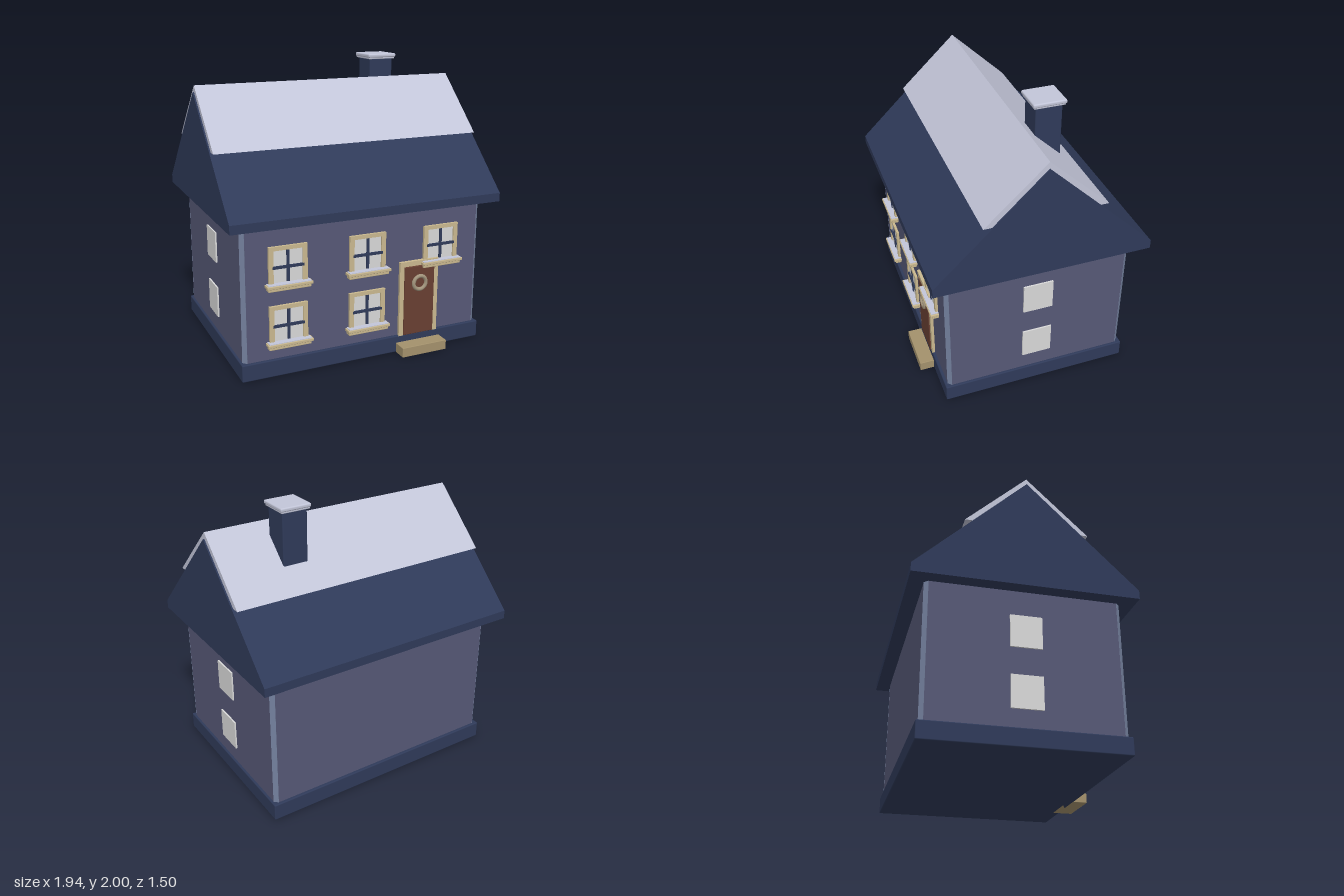
import * as THREE from 'three';
import { RoundedBoxGeometry } from 'three/addons/geometries/RoundedBoxGeometry.js';

const mat = (name, color) => {
  const m = new THREE.MeshStandardMaterial({ color });
  m.name = name;
  return m;
};

export function createModel() {
  const house = new THREE.Group();
  house.name = 'house';
  const wall = mat('wall plum', 0x565876);
  const navy = mat('navy', 0x2f3a59);
  const corner = mat('corner slate blue', 0x75829f);
  const pale = mat('pale lavender', 0xc2c5d8);
  const glass = mat('window white', 0xd8d8d8);
  const trim = mat('sandstone trim', 0xc9b88f);
  const stepMat = mat('step stone', 0xa3916c);
  const doorMat = mat('door brown', 0x683f32);
  const wreathMat = mat('wreath taupe', 0xa3957d);

  const add = (parent, name, geo, material) => {
    const m = new THREE.Mesh(geo, material);
    m.name = name;
    parent.add(m);
    return m;
  };
  // Box from its bounds; a radius gives softened edges
  const box = (parent, name, material, [x0, x1], [y0, y1], [z0, z1], r = 0) => {
    const s = [x1 - x0, y1 - y0, z1 - z0];
    const geo = r ? new RoundedBoxGeometry(...s, 2, r) : new THREE.BoxGeometry(...s);
    const m = add(parent, name, geo, material);
    m.position.set((x0 + x1) / 2, (y0 + y1) / 2, (z0 + z1) / 2);
    return m;
  };
  // Prism along x from a profile of [z, y] points
  const prism = (name, material, points, halfLength) => {
    const shape = new THREE.Shape(points.map(([z, y]) => new THREE.Vector2(-z, y)));
    const geo = new THREE.ExtrudeGeometry(shape, { depth: 2 * halfLength, bevelEnabled: false });
    geo.translate(0, 0, -halfLength).rotateY(Math.PI / 2);
    return add(house, name, geo, material);
  };

  // Plinth
  box(house, 'plinth', navy, [-0.893, 0.893], [0, 0.12], [-0.67, 0.65], 0.008);

  // Walls with cut corners
  const W = 0.877, D = 0.64, c = 0.026, zc = -0.01;
  const plan = new THREE.Shape([
    [W - c, D], [W, D - c], [W, c - D], [W - c, -D],
    [c - W, -D], [-W, c - D], [-W, D - c], [c - W, D],
  ].map(([x, z]) => new THREE.Vector2(x, z)));
  const wallGeo = new THREE.ExtrudeGeometry(plan, { depth: 0.93, bevelEnabled: false });
  wallGeo.rotateX(-Math.PI / 2).translate(0, 0.11, zc);
  add(house, 'walls', wallGeo, wall);
  for (const sx of [-1, 1]) for (const sz of [-1, 1]) {
    const strip = add(house, 'cornerStrip', new THREE.BoxGeometry(c * Math.SQRT2, 0.915, 0.004), corner);
    strip.position.set(sx * (W - c / 2), 0.5775, zc + sz * (D - c / 2));
    strip.rotation.y = Math.atan2(sx, sz);
  }

  // Main roof and the pale covering over its ridge
  prism('roof', navy, [[0.73, 1.03], [0.73, 1.09], [-0.01, 1.8], [-0.75, 1.09], [-0.75, 1.03]], 0.972);
  prism('ridgeCover', pale, [
    [0.4, 1.46], [-0.01, 1.845], [-0.42, 1.46], [-0.36, 1.46], [-0.01, 1.795], [0.34, 1.46],
  ], 0.962);

  // Chimney
  box(house, 'chimney', navy, [0.365, 0.545], [1.45, 1.965], [-0.265, -0.085], 0.008);
  box(house, 'chimneyCapLower', pale, [0.352, 0.558], [1.962, 1.982], [-0.282, -0.07], 0.005);
  box(house, 'chimneyCap', pale, [0.345, 0.565], [1.973, 2.0], [-0.288, -0.063], 0.01);

  // Front windows: framed pane, glazing bars and sill
  const F = zc + D;
  const frontWindow = (x, y) => {
    const g = new THREE.Group();
    g.name = 'frontWindow';
    g.position.set(x, y, F);
    house.add(g);
    const z = [-0.01, 0.018];
    box(g, 'frameLeft', trim, [0.1, 0.133], [0.03, 0.29], z);
    box(g, 'frameRight', trim, [-0.133, -0.1], [0.03, 0.29], z);
    box(g, 'frameTop', trim, [-0.1, 0.1], [0.263, 0.29], z);
    box(g, 'pane', glass, [-0.1, 0.1], [0.03, 0.264], [-0.01, 0.008]);
    box(g, 'barVertical', navy, [-0.01, 0.01], [0.05, 0.264], [0.006, 0.015]);
    box(g, 'barHorizontal', navy, [-0.108, 0.108], [0.141, 0.159], [0.006, 0.02]);
    box(g, 'sillLower', trim, [-0.147, 0.147], [0, 0.03], [-0.01, 0.045], 0.004);
    box(g, 'sill', trim, [-0.157, 0.157], [0.022, 0.042], [-0.01, 0.058], 0.004);
    box(g, 'sillTop', pale, [-0.147, 0.147], [0.04, 0.046], [0, 0.052]);
  };
  for (const [x, y] of [[-0.567, 0.6], [0, 0.6], [0.56, 0.6], [-0.567, 0.2], [0, 0.2]]) frontWindow(x, y);

  // Plain windows on both gable ends
  for (const s of [-1, 1]) for (const y of [0.35, 0.75]) {
    const pane = box(house, 'sideWindow', glass, [-0.008, 0.008], [y - 0.11, y + 0.107], [-0.11, 0.097]);
    pane.position.x = s * 0.88;
  }

  // Door with surround, wreath and step
  const door = new THREE.Group();
  door.name = 'frontDoor';
  door.position.set(0.395, 0, F);
  house.add(door);
  for (const s of [-1, 1]) {
    const jamb = box(door, 'doorJamb', trim, [-0.0165, 0.0165], [0.115, 0.655], [-0.01, 0.02]);
    jamb.position.x = s * 0.1335;
  }
  box(door, 'doorLintel', trim, [-0.15, 0.15], [0.62, 0.655], [-0.01, 0.024]);
  box(door, 'doorPanel', doorMat, [-0.117, 0.117], [0.118, 0.618], [-0.01, 0.028], 0.006);
  const wreath = add(door, 'wreath', new THREE.TorusGeometry(0.048, 0.014, 8, 24), wreathMat);
  wreath.position.set(0, 0.495, 0.03);
  box(house, 'doorStep', stepMat, [0.225, 0.57], [0, 0.07], [0.6, 0.75], 0.004);

  return house;
}
